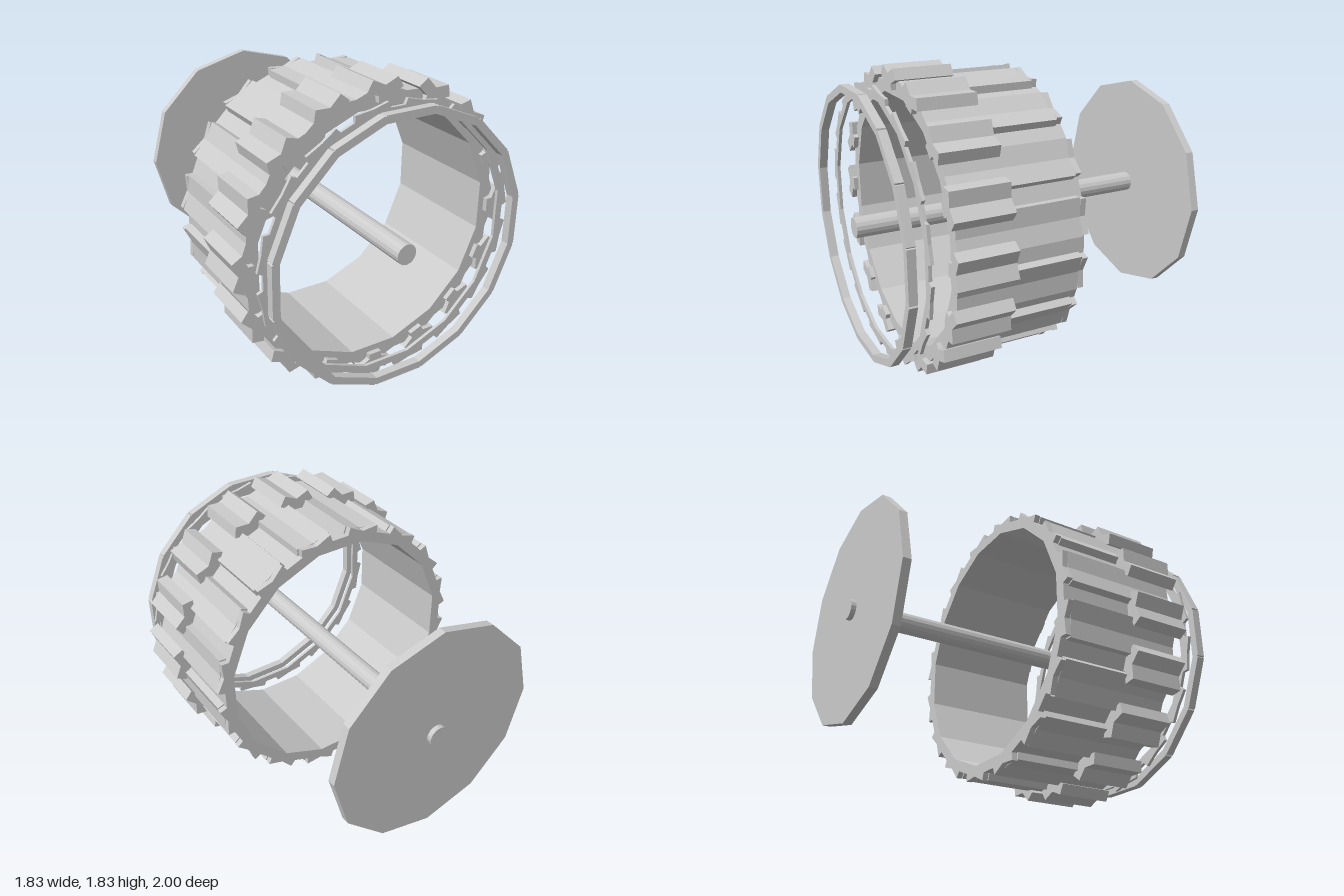
import * as THREE from 'three';

const N = 16;            // sectors around the wheel
const CY = 0.92;         // axle height

// Point at radial distance r and tangential offset t in sector i, counter-clockwise
function polar(i, t, r) {
  const a = (i / N) * Math.PI * 2;
  return new THREE.Vector2(Math.cos(a) * r - Math.sin(a) * t, Math.sin(a) * r + Math.cos(a) * t);
}

// Repeats a sector profile [[t, r], ...] all the way round
function around(profile) {
  const pts = [];
  for (let i = 0; i < N; i++) for (const [t, r] of profile) pts.push(polar(i, t, r));
  return pts;
}

// Sector corner at the given radius, halfway to the next sector
const corner = (radius) => [radius * Math.sin(Math.PI / N), radius * Math.cos(Math.PI / N)];

// One flat side per sector, given the distance to the middle of the side
const flat = (apothem) => [corner(apothem / Math.cos(Math.PI / N))];

// A groove between two ridges in each sector, with a valley between sectors
const grooved = (half, floor, top, valley) => [
  [-half - 0.015, top], [-half, floor], [half, floor], [half + 0.015, top], corner(valley),
];

export function createModel() {
  const model = new THREE.Group();
  const wheel = new THREE.Group();
  wheel.name = 'wheel';
  wheel.position.y = CY;
  model.add(wheel);
  const grey = new THREE.MeshStandardMaterial({ color: 0xcccccc, flatShading: true });
  grey.name = 'light grey';

  function add(name, geometry, parent = wheel) {
    const mesh = new THREE.Mesh(geometry, grey);
    mesh.name = name;
    parent.add(mesh);
  }
  function slab(points, z0, z1, hole) {
    const shape = new THREE.Shape(points);
    if (hole) shape.holes.push(new THREE.Path(hole));
    return new THREE.ExtrudeGeometry(shape, { depth: z1 - z0, bevelEnabled: false }).translate(0, 0, z0);
  }

  // Axle through the whole model
  add('axle', new THREE.CylinderGeometry(0.062, 0.062, 2, 16).rotateX(Math.PI / 2));

  // Twelve-sided end disc at the back
  add('backDisc', new THREE.CylinderGeometry(0.69, 0.69, 0.05, 12).rotateX(Math.PI / 2).translate(0, 0, -0.945));

  // Open drum with a slightly wider-grooved lip at the back
  const inner = around(flat(0.75));
  add('drum', slab(around(grooved(0.045, 0.815, 0.857, 0.835)), -0.02, 0.72, inner));
  add('drumBackLip', slab(around(grooved(0.055, 0.815, 0.86, 0.83)), -0.055, -0.02, inner));

  // V-shaped lugs around the front of the drum
  const arm = [[0.08, 0.917], [0.115, 0.857], [0.042, 0.826], [0.042, 0.79]];
  const lug = [[0, 0.882], ...arm, ...arm.map(([t, r]) => [-t, r]).reverse()];
  const lugs = new THREE.Group();
  lugs.name = 'lugs';
  wheel.add(lugs);
  for (let i = 0; i < N; i++) {
    add('lug', slab(lug.map(([t, r]) => polar(i, t, r)), 0.4, 0.75), lugs);
  }

  // Two separate rings in front of the drum, the front one nicked at its corners
  add('notchedRing', slab(around(grooved(0.045, 0.8, 0.833, 0.822)), 0.845, 0.865, around(flat(0.757))));
  const nicked = [[-0.155, 0.81], [0.155, 0.81], corner(0.817)];
  add('frontRing', slab(around(nicked), 0.93, 0.98, around(flat(0.765))));

  return model;
}
